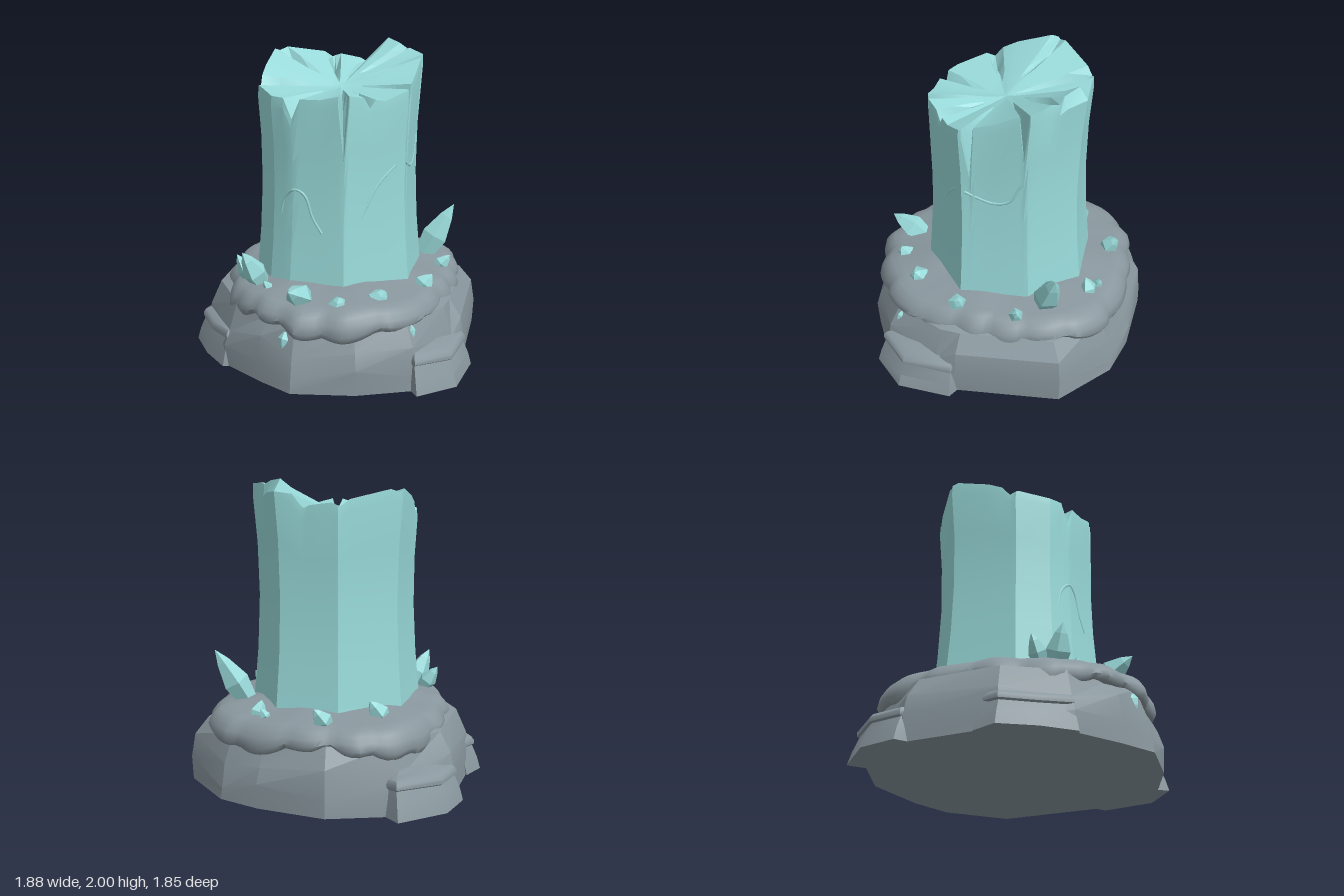
import * as THREE from 'three';
import { toCreasedNormals } from 'three/addons/utils/BufferGeometryUtils.js';

const crystalMat = new THREE.MeshStandardMaterial({ color: 0x9adbdb });
crystalMat.name = 'pale teal crystal';
const stoneMat = new THREE.MeshStandardMaterial({ color: 0x89979e });
stoneMat.name = 'grey stone';

const DEG = Math.PI / 180;
const lerp = THREE.MathUtils.lerp;

// Skin a list of equal-length rings (bottom to top) and close both ends
function loft(rings, crease) {
  const n = rings[0].length, pos = [], idx = [];
  rings.forEach(r => r.forEach(p => pos.push(...p)));
  for (let i = 0; i < rings.length - 1; i++) {
    for (let j = 0; j < n; j++) {
      const k = (j + 1) % n;
      const a = i * n + j, b = i * n + k, c = b + n, d = a + n;
      idx.push(a, d, b, b, d, c);
    }
  }
  const last = (rings.length - 1) * n;
  [rings[0], rings[rings.length - 1]].forEach((ring, end) => {
    const centre = pos.length / 3;
    for (let k = 0; k < 3; k++) pos.push(ring.reduce((s, p) => s + p[k], 0) / n);
    for (let j = 0; j < n; j++) {
      const k = (j + 1) % n;
      if (end) idx.push(centre, last + k, last + j);
      else idx.push(centre, j, k);
    }
  });
  const g = new THREE.BufferGeometry();
  g.setAttribute('position', new THREE.Float32BufferAttribute(pos, 3));
  g.setIndex(idx);
  return toCreasedNormals(g, crease);
}

// Distance from the origin to a polygon outline at an angle
function polar(poly, th) {
  const c = Math.cos(th), s = Math.sin(th);
  for (let i = 0; i < poly.length; i++) {
    const [ax, az] = poly[i], [bx, bz] = poly[(i + 1) % poly.length];
    const ex = bx - ax, ez = bz - az, den = c * ez - s * ex;
    if (Math.abs(den) < 1e-9) continue;
    const t = (ax * ez - az * ex) / den, u = (ax * s - az * c) / den;
    if (t > 0 && u >= -1e-6 && u <= 1 + 1e-6) return t;
  }
  return 0.5;
}

// ---- Column data: plan, rim heights by angle, and radial splits ----
const columnPlan = [[0.5, 0.22], [0.145, 0.495], [-0.22, 0.465], [-0.365, 0.39], [-0.51, 0.2],
  [-0.505, -0.27], [-0.17, -0.545], [0.24, -0.525], [0.5, -0.22]];
const rimHeights = [[-180, 1.87], [-151, 1.95], [-106, 1.87], [-84, 1.84], [-66, 2.0], [-32, 1.95],
  [-20, 1.94], [0, 1.85], [25, 1.79], [40, 1.74], [74, 1.8], [92, 1.76], [132, 1.75], [159, 1.78], [180, 1.87]];
// angle, half width, depth at the rim, inner start, depth inside the rim
const splits = [[-150, 6, 0.03, 0.4, 0.08], [-109, 6, 0.03, 0.15, 0.09], [-82, 6, 0.02, 0.25, 0.08],
  [-46, 6, 0.02, 0.4, 0.1], [-21, 3, 0.3, 0.4, 0.12], [18, 4, 0.32, 0.4, 0.12], [53, 5, 0.06, 0.45, 0.08],
  [74, 4, 0.38, 0.4, 0.12], [115, 7, 0.13, 0.4, 0.07], [163, 6, 0.04, 0.4, 0.07]];

function rimY(deg) {
  for (let i = 1; i < rimHeights.length; i++) {
    const [a, ya] = rimHeights[i - 1], [b, yb] = rimHeights[i];
    if (deg <= b) return lerp(ya, yb, (deg - a) / (b - a));
  }
  return 1.87;
}
function splitDepth(deg, f) {
  return splits.reduce((sum, [a, w, rim, r0, inner]) => {
    const d = f > 0.75 ? lerp(inner, rim, (f - 0.75) / 0.25) : inner * Math.max(0, (f - r0) / (0.75 - r0));
    return sum + d * Math.max(0, 1 - Math.abs(deg - a) / w);
  }, 0);
}
// Column waist: wide foot, narrow middle, highest tip leaning in
const waist = y => Math.min(1.02, 0.935 + 0.085 * Math.pow((y - 1.25) / 0.7, 2)) - 1.8 * Math.max(0, y - 1.95);
function columnPoint(deg, y, f = 1) {
  const th = deg * DEG, r = polar(columnPlan, th) * waist(y) * f;
  return [r * Math.cos(th), y, r * Math.sin(th)];
}

function columnGeometry() {
  const angles = [];
  const add = a => { if (angles.every(b => Math.abs(a - b) > 1.5)) angles.push(a); };
  splits.forEach(([a, w]) => [a, a - w, a + w].forEach(add));
  columnPlan.forEach(([x, z]) => add(Math.atan2(z, x) / DEG));
  rimHeights.slice(1).forEach(([a]) => add(a));
  angles.sort((a, b) => a - b);
  const rings = [0, 0.25, 0.5, 0.75, 0.95, 1].map(t => angles.map(a =>
    columnPoint(a, lerp(0.5, rimY(a) - splitDepth(a, 1), t), t === 1 ? 0.98 : 1)));
  // Sunken, split top
  [0.75, 0.5, 0.3, 0.12].forEach(f => rings.push(angles.map(a => {
    const [x, , z] = columnPoint(a, 1.8, f);
    return [x, lerp(1.75, rimY(a), f) - splitDepth(a, f), z];
  })));
  return loft(rings, 0.35);
}

// ---- Base data ----
const basePlan = [[0.87, 0.2], [0.85, 0.35], [0.64, 0.7], [0.3, 0.85], [-0.1, 0.92], [-0.33, 0.8], [-0.62, 0.62],
  [-0.87, 0.25], [-0.87, -0.35], [-0.62, -0.76], [-0.2, -0.93], [0.25, -0.88], [0.53, -0.79], [0.85, -0.48]];
const rimPlan = [[0.75, 0.1], [0.66, 0.5], [0.47, 0.71], [0.2, 0.82], [-0.08, 0.85], [-0.35, 0.72], [-0.59, 0.51],
  [-0.72, 0.15], [-0.75, -0.25], [-0.65, -0.62], [-0.4, -0.8], [0.1, -0.84], [0.5, -0.74], [0.69, -0.55], [0.76, -0.2]];

function boulderGeometry() {
  const levels = [[1, 0], [1, 0.12], [0.97, 0.26], [0.89, 0.42], [0.7, 0.48]];
  return loft(levels.map(([s, y], i) => basePlan.map(([x, z], j) => {
    const wob = i === 1 || i === 2 ? 0.05 * Math.sin(j * 2.4 + i) : 0;
    const k = s + wob * 0.25;
    return [x * k, y + wob, z * k];
  })), 0.3);
}

// Soft scalloped slab draped over the boulder
function slabGeometry() {
  const n = 128;
  const profile = [[0.8, 0.4, 1], [0.95, 0.36, 1], [1, 0.37, 1], [1.025, 0.405, 0.8], [1.01, 0.45, 0.4],
    [0.975, 0.49, 0.2], [0.93, 0.52, 0.1], [0.86, 0.53, 0], [0.72, 0.55, 0], [0.55, 0.58, 0], [0.3, 0.59, 0]];
  return loft(profile.map(([s, y, drip]) => Array.from({ length: n }, (_, j) => {
    const th = j / n * Math.PI * 2;
    const wave = Math.abs(Math.sin(th * 9 + 0.7 * Math.sin(th * 3)));
    const sag = 0.03 * Math.sin(th * 5 + 1) + 0.03 * (wave - 0.4);
    const r = polar(rimPlan, th) * (s + (s > 0.9 ? 0.035 * (wave - 0.6) : 0));
    return [r * Math.cos(th), y - sag * drip + 0.006 * Math.sin(th * 7), r * Math.sin(th)];
  })), 0.9);
}

// Low ledge rock leaning into the boulder, with a thin rounded lip: scale, height, lean
function ledgeGeometry(plan) {
  const cx = plan.reduce((s, p) => s + p[0], 0) / plan.length;
  const cz = plan.reduce((s, p) => s + p[1], 0) / plan.length;
  const levels = [[1, 0, 0], [0.98, 0.08, 0.02], [0.94, 0.165, 0.05], [0.96, 0.175, 0.04], [0.96, 0.2, 0.04],
    [0.93, 0.225, 0.055], [0.83, 0.24, 0.085], [0.6, 0.27, 0.13]];
  return loft(levels.map(([s, y, lean], i) => plan.map(([x, z], j) => [
    (cx + (x - cx) * s) * (1 - lean),
    y + (i > 1 ? 0.01 * Math.sin(j * 2) : 0),
    (cz + (z - cz) * s) * (1 - lean)])), 0.7);
}

// Pointed five-sided shard from a base point to a tip
function shard(base, tip, radius, name) {
  const a = new THREE.Vector3(...base), dir = new THREE.Vector3(...tip).sub(a), h = dir.length();
  const pts = [[0, 0], [0.65, 0], [1, 0.42], [0.5, 0.78], [0, 1]].map(([r, y]) => new THREE.Vector2(r * radius, y * h));
  const m = new THREE.Mesh(toCreasedNormals(new THREE.LatheGeometry(pts, 5), 0.1), crystalMat);
  m.position.copy(a);
  m.quaternion.setFromUnitVectors(new THREE.Vector3(0, 1, 0), dir.normalize());
  m.name = name;
  return m;
}

export function createModel() {
  const model = new THREE.Group();
  model.name = 'crystalPillar';
  const add = (geo, mat, name) => {
    const m = new THREE.Mesh(geo, mat);
    m.name = name;
    model.add(m);
  };

  add(boulderGeometry(), stoneMat, 'baseBoulder');
  add(slabGeometry(), stoneMat, 'scallopedSlab');
  add(columnGeometry(), crystalMat, 'crystalColumn');

  const ledges = {
    frontLeftLedge: [[0.82, 0.2], [0.87, 0.19], [0.935, 0.23], [0.89, 0.58], [0.67, 0.77], [0.6, 0.68], [0.62, 0.45]],
    frontRightLedge: [[-0.55, 0.62], [-0.63, 0.65], [-0.8, 0.48], [-0.94, 0.27], [-0.88, 0.1], [-0.65, 0.3]],
    backRightLedge: [[-0.65, -0.4], [-0.87, -0.32], [-0.94, -0.37], [-0.89, -0.62], [-0.64, -0.87], [-0.53, -0.78]],
  };
  for (const [name, plan] of Object.entries(ledges)) add(ledgeGeometry(plan), stoneMat, name);

  // Raised fracture lines on the column: angle and height along each path
  const fractures = [
    [[126, 1.0], [123, 1.1], [114, 1.17], [105, 1.13], [99, 1.0], [91, 0.9]],
    [[60, 1.0], [50, 1.14], [43, 1.22], [30, 1.32]],
    [[22, 1.33], [12, 1.29], [0, 1.26], [-12, 1.29], [-20, 1.42]],
  ];
  fractures.forEach(path => {
    const flat = new THREE.CatmullRomCurve3(path.map(([a, y]) => new THREE.Vector3(a, y * 60, 0)));
    const onWall = flat.getPoints(24).map(p => new THREE.Vector3(...columnPoint(p.x, p.y / 60, 0.993)));
    add(new THREE.TubeGeometry(new THREE.CatmullRomCurve3(onWall), 40, 0.011, 6), crystalMat, 'fractureLine');
  });

  // Shards around the foot: base, tip, radius
  [
    [[0.5, 0.5, -0.32], [0.705, 0.875, -0.42], 0.09],
    [[-0.41, 0.49, 0.42], [-0.52, 0.75, 0.52], 0.08],
    [[-0.5, 0.5, 0.37], [-0.615, 0.67, 0.35], 0.06],
    [[-0.08, 0.5, 0.58], [-0.13, 0.63, 0.82], 0.085],
    [[-0.44, 0.5, -0.44], [-0.37, 0.64, -0.52], 0.07],
    [[-0.14, 0.5, -0.67], [-0.08, 0.63, -0.76], 0.065],
    [[0.35, 0.49, -0.62], [0.32, 0.61, -0.58], 0.055],
    [[0.26, 0.5, -0.65], [0.3, 0.58, -0.67], 0.035],
    [[0.63, 0.49, -0.16], [0.72, 0.59, -0.18], 0.05],
    [[0.58, 0.49, 0.24], [0.66, 0.59, 0.2], 0.065],
    [[0.35, 0.48, 0.52], [0.42, 0.59, 0.55], 0.075],
    [[0.14, 0.48, 0.66], [0.16, 0.58, 0.7], 0.065],
    [[-0.33, 0.5, 0.52], [-0.37, 0.58, 0.55], 0.035],
  ].forEach(([b, t, r]) => model.add(shard(b, t, r, 'shard')));

  // Small chips set into the boulder
  model.add(shard([-0.15, 0.36, 0.8], [-0.17, 0.26, 0.845], 0.04, 'embeddedChip'));
  model.add(shard([0.59, 0.39, 0.595], [0.62, 0.33, 0.635], 0.025, 'embeddedChip'));

  return model;
}
